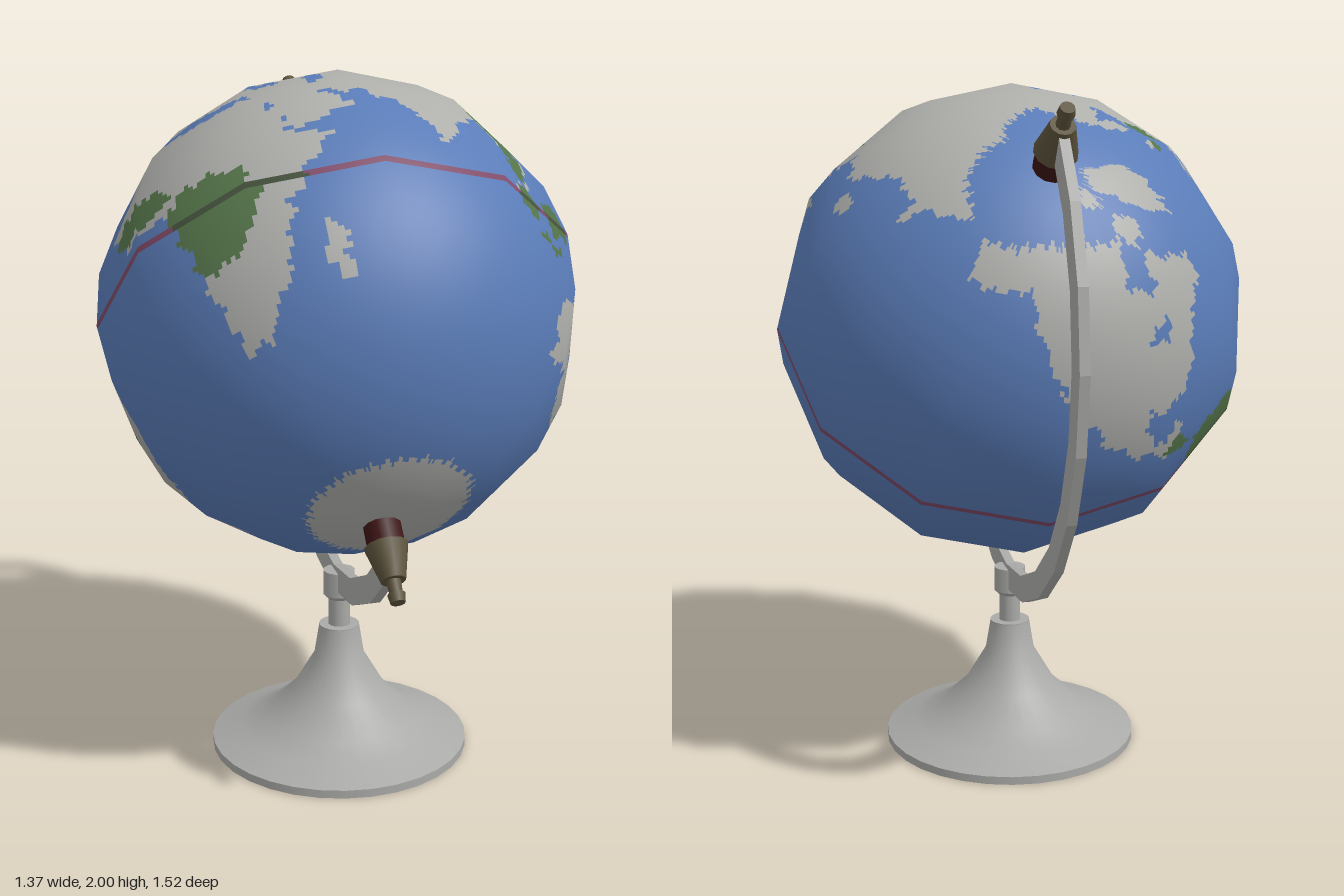
import * as THREE from 'three';

const mat = (name, color, side = THREE.FrontSide) => {
  const m = new THREE.MeshStandardMaterial({ color, side });
  m.name = name;
  return m;
};
const ocean = mat('ocean blue', 0x5a7cb8);
const land = mat('land grey', 0xaeaeab);
const forest = mat('forest green', 0x55754a);
const equator = mat('equator red', 0x7f4a68);
const equatorLand = mat('equator over land', 0x44523c);
const metal = mat('stand grey', 0xaaaaa8, THREE.DoubleSide);
const brass = mat('dark brass', 0x5c533c);
const maroon = mat('maroon', 0x3c1414);

const R = 0.687, TILT = 0.794, FRONT_LON = 60;

// Rough continent outlines as longitude, latitude pairs
const eurasia = [-9, 37, -9, 43, -1, 45, 8, 54, 22, 55, 28, 60, 21, 64, 10, 58, 6, 62, 27, 71, 60, 68, 104, 77, 180, 68, 161, 60, 157, 51,
  155, 59, 137, 54, 128, 37, 119, 38, 121, 28, 108, 20, 106, 9, 102, 4, 95, 17, 88, 21, 78, 8, 70, 23, 57, 26, 48, 30, 58, 21, 44, 13,
  34, 30, 27, 38, 8, 44];
const africa = [-6, 36, 11, 36, 33, 31, 43, 12, 51, 12, 40, -4, 35, -22, 27, -33, 19, -35, 13, -10, 9, 4, -8, 4.5, -17, 14, -17, 21];
const northAmerica = [-168, 66, -128, 70, -82, 68, -94, 59, -80, 52, -77, 62, -56, 52, -70, 43, -81, 29, -97, 27, -95, 18, -87, 21,
  -83, 11, -77, 8, -105, 19, -124, 42, -135, 59, -160, 57];
const southAmerica = [-78, 8, -60, 10, -35, -6, -40, -22, -57, -37, -68, -55, -74, -50, -70, -18, -81, -5];
const australia = [114, -22, 130, -12, 137, -16, 142, -11, 153, -26, 148, -39, 131, -31, 115, -35];
const greenland = [-45, 60, -55, 70, -65, 81, -30, 83, -20, 72];
const continents = [eurasia, africa, northAmerica, southAmerica, australia, greenland];

// Ovals: longitude, latitude and half sizes
const islands = [[47, -19, 2.5, 6.5], [-2, 54, 3, 3.5], [138, 37, 4, 3], [101, 0, 4, 4], [114, 1, 4.5, 5], [110, -7.5, 5, 1], [140, -5.5, 9, 3],
  [123, 12, 2, 6], [172, -42, 3, 4], [-73, 68, 8, 4], [-110, 71, 7, 2], [-80, 79, 11, 3]];
const seas = [[35, 43, 6, 2], [51, 42, 2.5, 5], [-86, 45, 5, 2]];
const forests = [[-66, -3, 18, 15], [-86, 13, 7, 4], [18, -3, 14, 12], [-4, 10, 14, 4], [107, 24, 17, 6], [101, 14, 5, 8], [122, -2, 28, 8],
  [3, 51, 12, 4]];

function inOutline(p, x, y) {
  let hit = false;
  for (let i = 0, j = p.length - 2; i < p.length; j = i, i += 2)
    if ((p[i + 1] > y) !== (p[j + 1] > y) && x < ((p[j] - p[i]) * (y - p[i + 1])) / (p[j + 1] - p[i + 1]) + p[i]) hit = !hit;
  return hit;
}

// Material slot: 0 ocean, 1 land, 2 forest, 3 equator, 4 equator over land
function regionAt(lon, lat) {
  // Gentle ripples make the coasts ragged
  const x = lon + 0.9 * Math.sin(lat * 0.9) + 0.6 * Math.sin(lat * 2.1 + lon), y = lat + 0.8 * Math.sin(lon * 0.8) + 0.5 * Math.sin(lon * 1.9 + lat);
  const inOval = ([cx, cy, rx, ry]) => ((x - cx) / rx) ** 2 + ((y - cy) / ry) ** 2 < 1;
  const southCap = y < -71 + 4.5 * Math.cos(THREE.MathUtils.degToRad(lon - 85));
  const dry = (southCap || continents.some((p) => inOutline(p, x, y)) || islands.some(inOval)) && !seas.some(inOval);
  if (Math.abs(lat) < 0.8) return dry ? 4 : 3;
  return dry ? (forests.some(inOval) ? 2 : 1) : 0;
}

const onSphere = (lon, lat) => {
  const a = THREE.MathUtils.degToRad(lon - FRONT_LON), b = THREE.MathUtils.degToRad(lat);
  return new THREE.Vector3(Math.cos(b) * Math.sin(a), Math.sin(b), Math.cos(b) * Math.cos(a)).multiplyScalar(R);
};

// A point on the coarse ball of 12 x 12 flat faces
function onBall(lon, lat) {
  const l0 = Math.min(Math.floor(lon / 30) * 30, 150), b0 = Math.min(Math.floor(lat / 15) * 15, 75);
  const u = (lon - l0) / 30, v = (lat - b0) / 15;
  const low = onSphere(l0, b0).lerp(onSphere(l0 + 30, b0), u);
  return low.lerp(onSphere(l0, b0 + 15).lerp(onSphere(l0 + 30, b0 + 15), u), v);
}

// Fine grid laid over the coarse ball, sorted by region
function globeGeometry() {
  const cols = 288, rows = 144, pos = [], nor = [], slots = [[], [], [], [], []];
  const lonOf = (i) => -180 + i * 1.25;
  const latOf = (j) => (Math.abs(j - 72) === 1 ? (j - 72) * 0.8 : (j - 72) * 1.25); // narrow rows beside the equator
  for (let j = 0; j <= rows; j++)
    for (let i = 0; i <= cols; i++) {
      const p = onBall(lonOf(i), latOf(j));
      pos.push(p.x, p.y, p.z);
      p.normalize();
      nor.push(p.x, p.y, p.z);
    }
  for (let j = 0; j < rows; j++)
    for (let i = 0; i < cols; i++) {
      const a = j * (cols + 1) + i, c = a + cols + 1;
      const slot = regionAt((lonOf(i) + lonOf(i + 1)) / 2, (latOf(j) + latOf(j + 1)) / 2);
      slots[slot].push(a, a + 1, c + 1, a, c + 1, c);
    }
  const g = new THREE.BufferGeometry();
  g.setAttribute('position', new THREE.Float32BufferAttribute(pos, 3));
  g.setAttribute('normal', new THREE.Float32BufferAttribute(nor, 3));
  g.setIndex(slots.flat());
  let start = 0;
  slots.forEach((s, k) => { g.addGroup(start, s.length, k); start += s.length; });
  return g;
}

// Half ring from the south pole round the back to the north pole
function armGeometry() {
  const pts = [];
  const arc = (r, k) => {
    const a = -Math.PI / 2 - (k * Math.PI) / 12;
    pts.push(new THREE.Vector2(r * Math.cos(a), r * Math.sin(a)));
  };
  for (let k = 0; k <= 12; k++) arc(0.833, k);
  for (let k = 12; k >= 0; k--) arc(0.755, k);
  return new THREE.ExtrudeGeometry(new THREE.Shape(pts), { depth: 0.028, bevelEnabled: false }).translate(0, 0, -0.014).rotateY(-Math.PI / 2);
}

export function createModel() {
  const model = new THREE.Group();
  const add = (parent, name, geo, material) => {
    const m = new THREE.Mesh(geo, material);
    m.name = name;
    parent.add(m);
  };
  // Upright cylinder or cone centred at height y
  const drum = (parent, name, rTop, rBottom, h, y, sides, material, open = false) =>
    add(parent, name, new THREE.CylinderGeometry(rTop, rBottom, h, sides, 1, open).translate(0, y, 0), material);

  // Tilted ball with its arm and pole pins
  const tilted = new THREE.Group();
  tilted.name = 'tiltedGlobe';
  tilted.position.set(0, 1.313, 0.075);
  tilted.rotation.x = -TILT;
  model.add(tilted);
  add(tilted, 'globe', globeGeometry(), [ocean, land, forest, equator, equatorLand]);
  add(tilted, 'arm', armGeometry(), metal);
  for (const end of ['north', 'south']) {
    const pin = new THREE.Group();
    pin.name = end + 'Pin';
    if (end === 'south') pin.rotation.x = Math.PI;
    tilted.add(pin);
    drum(pin, 'bushing', 0.052, 0.052, 0.11, 0.7, 12, maroon);
    drum(pin, 'pinCone', 0.034, 0.06, 0.1, 0.79, 12, brass);
    drum(pin, 'pinShaft', 0.017, 0.02, 0.05, 0.86, 10, brass);
    drum(pin, 'pinKnob', 0.02, 0.024, 0.026, 0.89, 10, brass);
  }

  // Hollow flared foot, post and collar
  const stand = new THREE.Group();
  stand.name = 'stand';
  stand.position.z = 0.095;
  model.add(stand);
  const flare = [[0.385, 0.024], [0.3, 0.056], [0.225, 0.093], [0.14, 0.17], [0.075, 0.28], [0.06, 0.372]];
  add(stand, 'foot', new THREE.LatheGeometry(flare.map(([r, y]) => new THREE.Vector2(r, y)), 32), metal);
  drum(stand, 'footRim', 0.385, 0.385, 0.024, 0.012, 32, metal, true);
  drum(stand, 'footCap', 0.06, 0.06, 0.006, 0.372, 32, metal);
  drum(stand, 'post', 0.033, 0.033, 0.12, 0.42, 16, metal);
  drum(stand, 'collarTaper', 0.048, 0.034, 0.014, 0.464, 12, metal);
  drum(stand, 'collar', 0.048, 0.048, 0.075, 0.508, 12, metal);
  return model;
}
